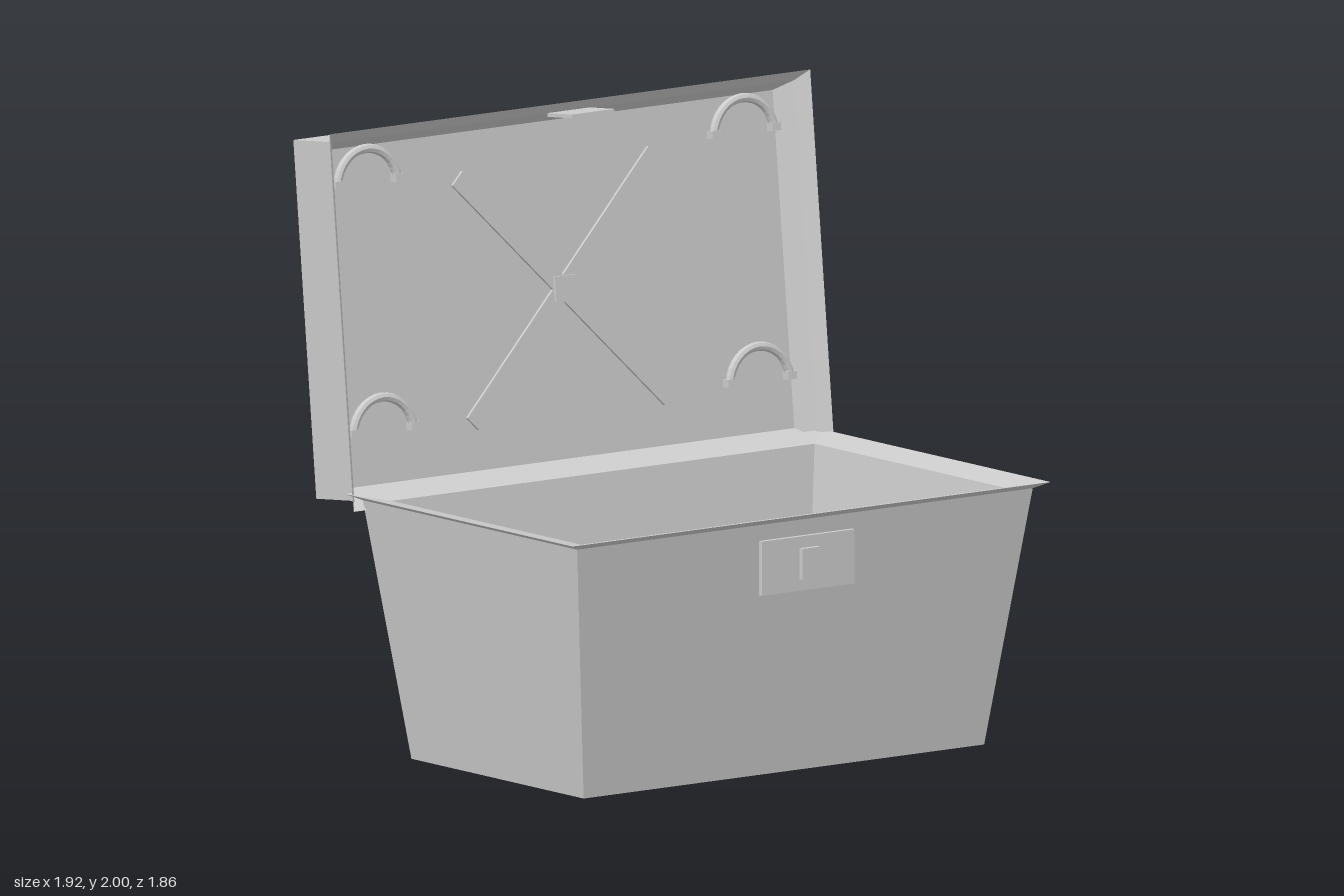
import * as THREE from 'three';
import { mergeGeometries } from 'three/addons/utils/BufferGeometryUtils.js';

const grey = new THREE.MeshStandardMaterial({ color: 0xcccccc });
grey.name = 'plain grey';

function add(parent, name, geometry, x = 0, y = 0, z = 0) {
  const mesh = new THREE.Mesh(geometry, grey);
  mesh.name = name;
  mesh.position.set(x, y, z);
  parent.add(mesh);
  return mesh;
}

const box = (w, h, d) => new THREE.BoxGeometry(w, h, d);

// Closed flat-shaded shell through rectangular rings [halfWidth, halfHeight, z]
function rectLoft(rings) {
  const corners = rings.map(([a, b, z]) => [[-a, -b, z], [a, -b, z], [a, b, z], [-a, b, z]]);
  const pos = [];
  const quad = (a, b, c, d) => pos.push(...a, ...b, ...c, ...a, ...c, ...d);
  for (let r = 0; r < corners.length - 1; r++) {
    const p = corners[r], q = corners[r + 1];
    for (let i = 0; i < 4; i++) {
      const j = (i + 1) % 4;
      quad(p[i], p[j], q[j], q[i]);
    }
  }
  const first = corners[0], last = corners[corners.length - 1];
  quad(first[3], first[2], first[1], first[0]);
  quad(last[0], last[1], last[2], last[3]);
  const g = new THREE.BufferGeometry();
  g.setAttribute('position', new THREE.Float32BufferAttribute(pos, 3));
  g.computeVertexNormals();
  return g;
}

// Capped arched bar, feet at y = 0 and apex at +y
function archBar(halfSpan, height, tube, segments) {
  const R = (halfSpan ** 2 + height ** 2) / (2 * height);
  const arc = 2 * Math.acos((R - height) / R);
  const start = new THREE.CircleGeometry(tube, 8).rotateX(Math.PI / 2).translate(R, 0, 0);
  const end = new THREE.CircleGeometry(tube, 8).rotateX(-Math.PI / 2).translate(R, 0, 0).rotateZ(arc);
  const g = mergeGeometries([new THREE.TorusGeometry(R, tube, 8, segments, arc), start, end]).toNonIndexed();
  g.rotateZ((Math.PI - arc) / 2).translate(0, height - R, 0);
  g.computeVertexNormals();
  return g;
}

export function createModel() {
  const model = new THREE.Group();
  model.name = 'openBox';

  // Tapered tub with flared rim and hollow inside
  const tub = rectLoft([
    [0.8, 0.45, 0], [0.91, 0.56, 0.83], [0.955, 0.595, 0.85],
    [0.845, 0.495, 0.83], [0.73, 0.385, 0.04],
  ]).rotateX(-Math.PI / 2);
  add(model, 'tub', tub, 0, 0, 0.33);

  // Front lock
  add(model, 'lockPlate', box(0.37, 0.175, 0.015), 0, 0.692, 0.9);
  add(model, 'lockKnob', box(0.07, 0.1, 0.018), 0, 0.692, 0.915);

  // Lid, leaning back; its local +z is the open side
  const lid = new THREE.Group();
  lid.name = 'lid';
  lid.position.set(0, 1.4, -0.275);
  lid.rotation.x = -0.105;
  model.add(lid);
  add(lid, 'lidShell', rectLoft([
    [0.928, 0.573, -0.236], [0.928, 0.573, -0.045], [0.96, 0.603, 0],
    [0.925, 0.572, -0.04], [0.896, 0.54, -0.12],
  ]));
  add(lid, 'clasp', box(0.17, 0.012, 0.13), 0, 0.57, 0.055);

  // Crossed straps inside the lid
  for (const s of [-1, 1]) {
    add(lid, 'crossStrap', box(1.11, 0.06, 0.01), 0, 0.005, -0.1).rotation.z = s * Math.PI / 4;
  }
  add(lid, 'strapCentre', box(0.08, 0.08, 0.02), 0, 0.005, -0.095);

  // Four small loops inside the lid
  for (const x of [-0.752, 0.752]) {
    for (const y of [0.427, -0.367]) {
      const loop = new THREE.Group();
      loop.name = 'loop';
      loop.position.set(x, y, -0.093);
      lid.add(loop);
      add(loop, 'loopArch', archBar(0.12, 0.105, 0.015, 16));
      for (const s of [-1, 1]) add(loop, 'loopFoot', box(0.034, 0.025, 0.03), s * 0.12, 0, 0);
    }
  }

  // Carrying handle on the outside of the lid
  add(lid, 'handle', archBar(0.405, 0.327, 0.03, 24).rotateX(-Math.PI / 2), 0, 0, -0.307);
  for (const s of [-1, 1]) add(lid, 'handlePad', box(0.1, 0.11, 0.014), s * 0.405, 0, -0.24);

  return model;
}
